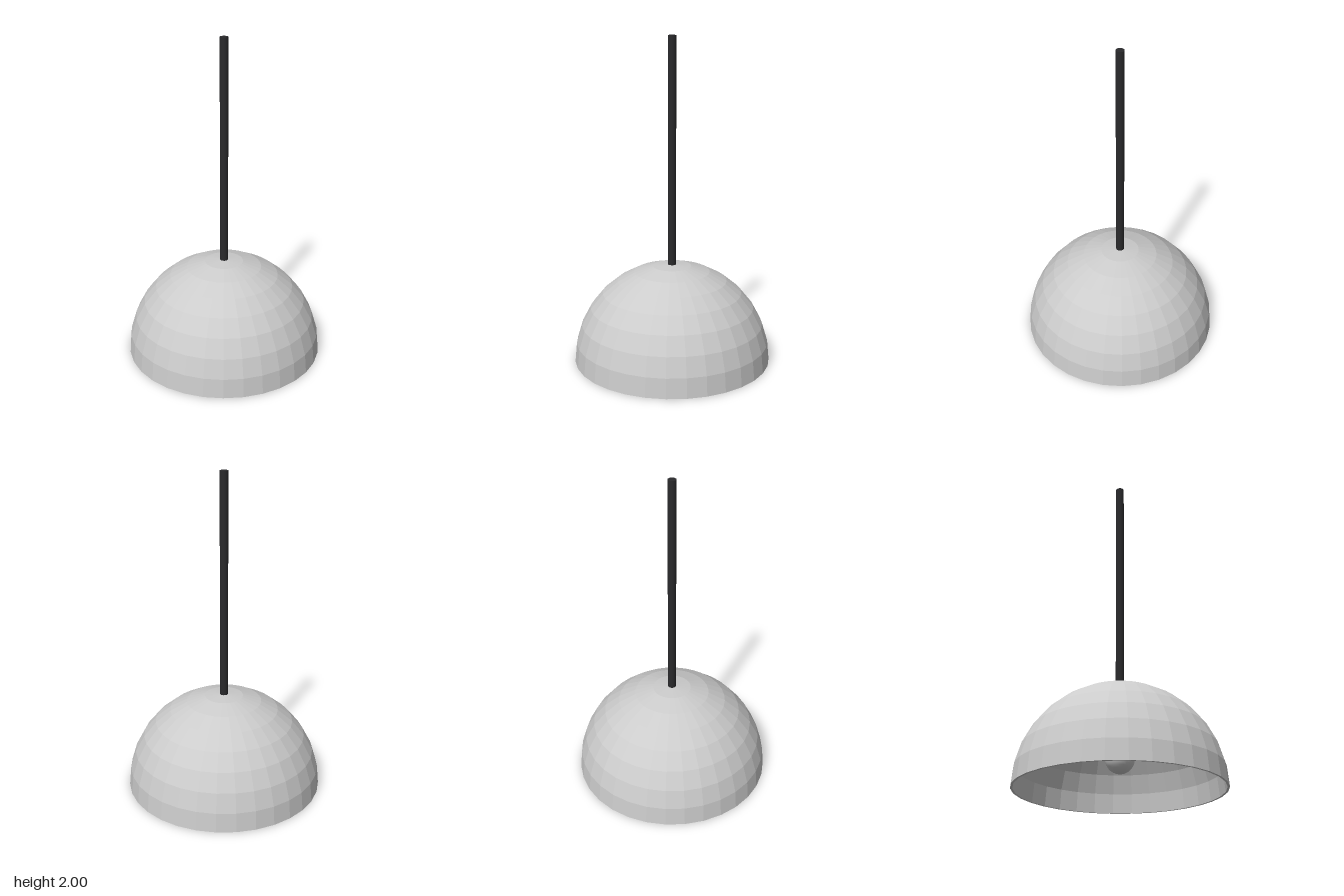
import * as THREE from 'three';

const OUTER = 0.61, INNER = 0.597, RINGS = 8;

// Quarter-circle profile from the axis (top) down to the rim
function arc(radius) {
  return Array.from({ length: RINGS + 1 }, (_, i) => {
    const a = (i / RINGS) * Math.PI / 2;
    return new THREE.Vector2(radius * Math.sin(a), i === RINGS ? 0 : radius * Math.cos(a));
  });
}

export function createModel() {
  const group = new THREE.Group();
  const grey = new THREE.MeshStandardMaterial({ color: 0xcccccc });
  const facetedGrey = new THREE.MeshStandardMaterial({ color: 0xcccccc, flatShading: true, side: THREE.DoubleSide });
  const black = new THREE.MeshStandardMaterial({ color: 0x2a2a2c });

  const add = (name, geometry, material, y = 0) => {
    const mesh = new THREE.Mesh(geometry, material);
    mesh.name = name;
    mesh.position.y = y;
    group.add(mesh);
  };

  // Thin faceted dome: up the inside, across the rim, over the outside
  const shell = [...arc(INNER), ...arc(OUTER).reverse()];
  add('shade', new THREE.LatheGeometry(shell, 32), facetedGrey);

  // Hanging rod, passing through the dome to the lamp holder
  const rodBottom = 0.42;
  add('rod', new THREE.CylinderGeometry(0.025, 0.025, 2 - rodBottom, 24), black, (2 + rodBottom) / 2);

  // Lamp holder
  add('socket', new THREE.CylinderGeometry(0.042, 0.042, 0.14, 24), black, 0.37);

  // Bulb: round globe flowing into a narrow neck
  const bulb = [];
  for (let i = 0; i <= 12; i++) {
    const a = (i / 12) * 2.3;
    bulb.push(new THREE.Vector2(0.085 * Math.sin(a), 0.177 - 0.085 * Math.cos(a)));
  }
  bulb.push(new THREE.Vector2(0.05, 0.26), new THREE.Vector2(0.045, 0.285),
    new THREE.Vector2(0.044, 0.315), new THREE.Vector2(0, 0.317));
  add('bulb', new THREE.LatheGeometry(bulb, 24), grey);

  return group;
}
